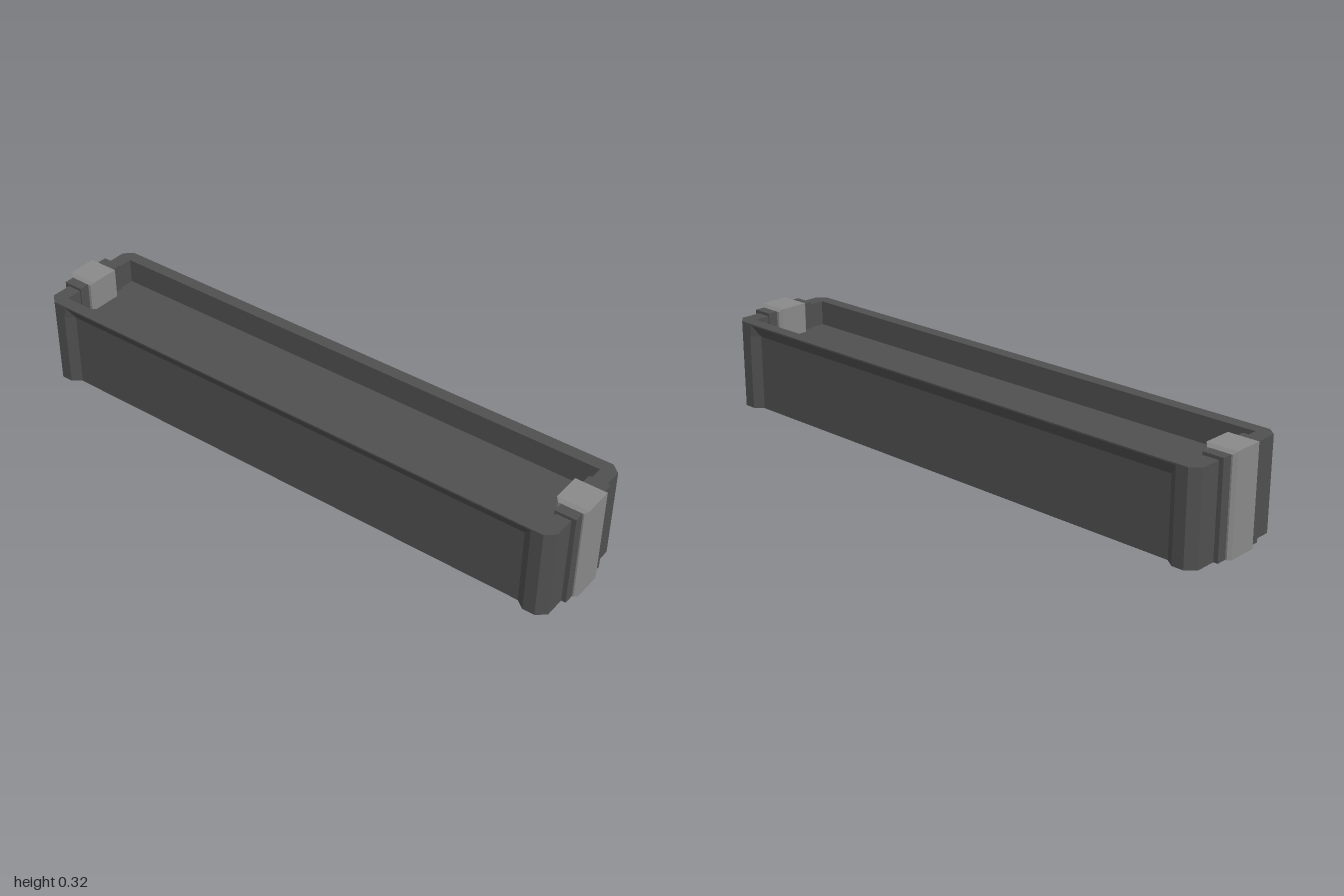
import * as THREE from 'three';
import { ConvexGeometry } from 'three/addons/geometries/ConvexGeometry.js';

const darkGrey = new THREE.MeshStandardMaterial({ color: 0x505050, side: THREE.DoubleSide });
darkGrey.name = 'darkGrey';
const lightGrey = new THREE.MeshStandardMaterial({ color: 0x8a8a8a });
lightGrey.name = 'lightGrey';

// Mirror a quarter outline [x, z] into a closed plan outline
function mirrored(quarter) {
  const back = [...quarter].reverse();
  return [
    ...quarter,
    ...back.map(([x, z]) => [x, -z]),
    ...quarter.map(([x, z]) => [-x, -z]),
    ...back.map(([x, z]) => [-x, z]),
  ];
}

// Faceted wall through plan outlines at given heights
function loft(levels) {
  const n = levels[0].outline.length;
  const positions = [];
  const index = [];
  for (const { y, outline } of levels) for (const [x, z] of outline) positions.push(x, y, z);
  for (let l = 0; l < levels.length - 1; l++) {
    for (let i = 0; i < n; i++) {
      const a = l * n + i, b = l * n + ((i + 1) % n);
      index.push(a, b, b + n, a, b + n, a + n);
    }
  }
  const indexed = new THREE.BufferGeometry();
  indexed.setAttribute('position', new THREE.Float32BufferAttribute(positions, 3));
  indexed.setIndex(index);
  const geometry = indexed.toNonIndexed();
  geometry.computeVertexNormals();
  return geometry;
}

// Horizontal sheet, optionally with an opening
function sheet(outline, y, hole) {
  const toPoints = (pts) => pts.map(([x, z]) => new THREE.Vector2(x, -z));
  const shape = new THREE.Shape(toPoints(outline));
  if (hole) shape.holes.push(new THREE.Path(toPoints(hole)));
  return new THREE.ShapeGeometry(shape).rotateX(-Math.PI / 2).translate(0, y, 0);
}

function add(parent, name, geometry, material) {
  const mesh = new THREE.Mesh(geometry, material);
  mesh.name = name;
  parent.add(mesh);
  return mesh;
}

// Clip at the front end: dark backing and a bevelled light band over the rim
function createClip() {
  const clip = new THREE.Group();
  const backing = new THREE.BoxGeometry(0.19, 0.315, 0.07).translate(0, 0.1575, 0.95);
  add(clip, 'clipBacking', backing, darkGrey);

  const points = [];
  for (const side of [-1, 1]) {
    for (const [x, top, z0, z1] of [[0.06, 0.315, 0.905, 0.99], [0.05, 0.325, 0.895, 1]]) {
      for (const y of [0, top]) for (const z of [z0, z1]) points.push(new THREE.Vector3(side * x, y, z));
    }
  }
  add(clip, 'clipBand', new ConvexGeometry(points), lightGrey);
  return clip;
}

export function createModel() {
  const model = new THREE.Group();
  model.name = 'trough';

  // Chamfered plan; the long sides are recessed below the rim
  const rimOutline = mirrored([[0.167, 0.97], [0.193, 0.94], [0.193, 0.9], [0.193, 0.89]]);
  const wallOutline = mirrored([[0.167, 0.97], [0.193, 0.94], [0.193, 0.9], [0.17, 0.87]]);
  const opening = mirrored([[0.15, 0.92]]);
  const top = 0.305, floor = 0.22;

  add(model, 'outerWall', loft([
    { y: 0, outline: wallOutline },
    { y: 0.26, outline: wallOutline },
    { y: 0.3, outline: rimOutline },
    { y: top, outline: rimOutline },
  ]), darkGrey);
  add(model, 'rim', sheet(rimOutline, top, opening), darkGrey);
  add(model, 'innerWall', loft([
    { y: top, outline: opening },
    { y: floor, outline: opening },
  ]), darkGrey);
  add(model, 'floor', sheet(wallOutline, floor), darkGrey);

  // A clip on each end
  const frontClip = createClip();
  frontClip.name = 'frontClip';
  const backClip = createClip();
  backClip.name = 'backClip';
  backClip.rotation.y = Math.PI;
  model.add(frontClip, backClip);

  return model;
}
